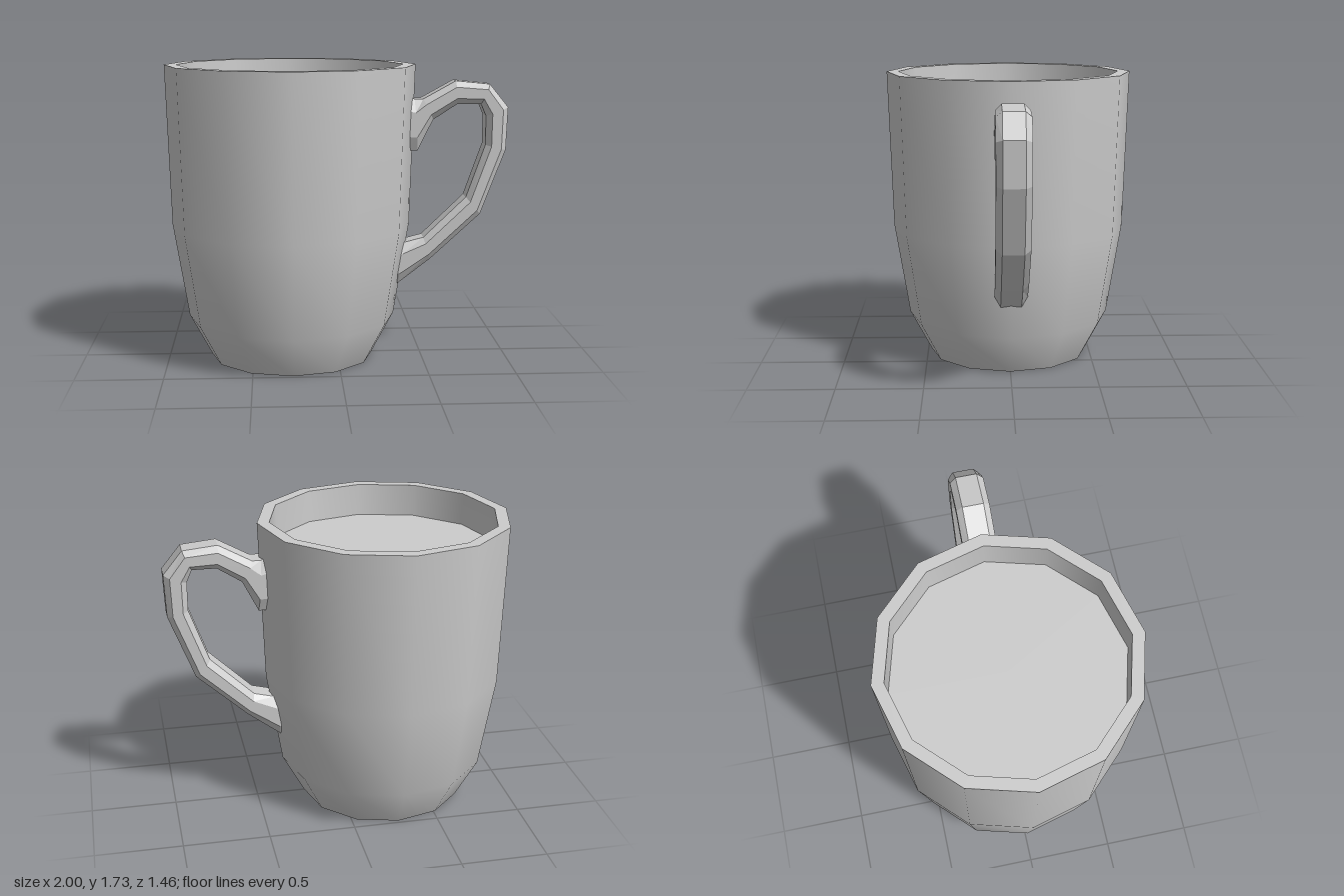
import * as THREE from 'three';

const SIDES = 12;
const CENTER_X = -0.27;

function makeMaterial(flat) {
  return new THREE.MeshStandardMaterial({ color: 0xcccccc, flatShading: flat, side: THREE.DoubleSide });
}

// Turned part of the cup: profile of [radius, height] points
function turned(name, profile, flat = false) {
  const points = profile.map(([r, y]) => new THREE.Vector2(r, y));
  const mesh = new THREE.Mesh(new THREE.LatheGeometry(points, SIDES), makeMaterial(flat));
  mesh.name = name;
  mesh.position.x = CENTER_X;
  return mesh;
}

// Octagonal handle section between an outer and an inner point in the xy plane
function octagon([ox, oy, ix, iy]) {
  const wide = 0.095, narrow = 0.06, c = 0.26;
  const ring = [[0, narrow], [c, wide], [1 - c, wide], [1, narrow],
    [1, -narrow], [1 - c, -wide], [c, -wide], [0, -narrow]];
  return ring.map(([t, z]) => [ox + (ix - ox) * t, oy + (iy - oy) * t, z]);
}

function handleGeometry() {
  // outer x, outer y, inner x, inner y from the upper root to the lower root
  const sections = [
    [0.40, 1.55, 0.40, 1.23],
    [0.45, 1.53, 0.47, 1.23],
    [0.50, 1.53, 0.56, 1.41],
    [0.69, 1.635, 0.70, 1.50],
    [0.89, 1.615, 0.84, 1.50],
    [1.00, 1.48, 0.87, 1.43],
    [0.99, 1.23, 0.87, 1.26],
    [0.845, 0.85, 0.76, 0.95],
    [0.55, 0.58, 0.51, 0.71],
    [0.36, 0.435, 0.39, 0.68],
    [0.31, 0.44, 0.31, 0.66],
  ];
  const positions = sections.flatMap((s) => octagon(s).flat());
  const index = [];
  for (let s = 0; s < sections.length - 1; s++) {
    for (let k = 0; k < 8; k++) {
      const a = s * 8 + k, b = s * 8 + (k + 1) % 8;
      index.push(a, b, a + 8, b, b + 8, a + 8);
    }
  }
  // Close both roots
  const last = (sections.length - 1) * 8;
  for (let k = 1; k < 7; k++) {
    index.push(0, k + 1, k, last, last + k, last + k + 1);
  }
  const geometry = new THREE.BufferGeometry();
  geometry.setAttribute('position', new THREE.Float32BufferAttribute(positions, 3));
  geometry.setIndex(index);
  const flat = geometry.toNonIndexed();
  flat.computeVertexNormals();
  return flat;
}

export function createModel() {
  const mug = new THREE.Group();
  mug.name = 'mug';

  // Cup shell, split where the edges are sharp
  mug.add(turned('base', [[0, 0], [0.48, 0]], true));
  mug.add(turned('outerWall', [[0.48, 0], [0.61, 0.24], [0.70, 0.79], [0.73, 1.73]]));
  mug.add(turned('rim', [[0.73, 1.73], [0.66, 1.73]], true));
  mug.add(turned('innerWall', [[0.66, 1.73], [0.635, 0.79], [0.55, 0.26], [0.45, 0.08]]));
  mug.add(turned('innerFloor', [[0.45, 0.08], [0, 0.08]], true));

  // Drink surface a little below the rim
  mug.add(turned('drink', [[0.655, 1.54], [0, 1.54]], true));

  // Faceted handle
  const handle = new THREE.Mesh(handleGeometry(), makeMaterial(true));
  handle.name = 'handle';
  mug.add(handle);

  return mug;
}
